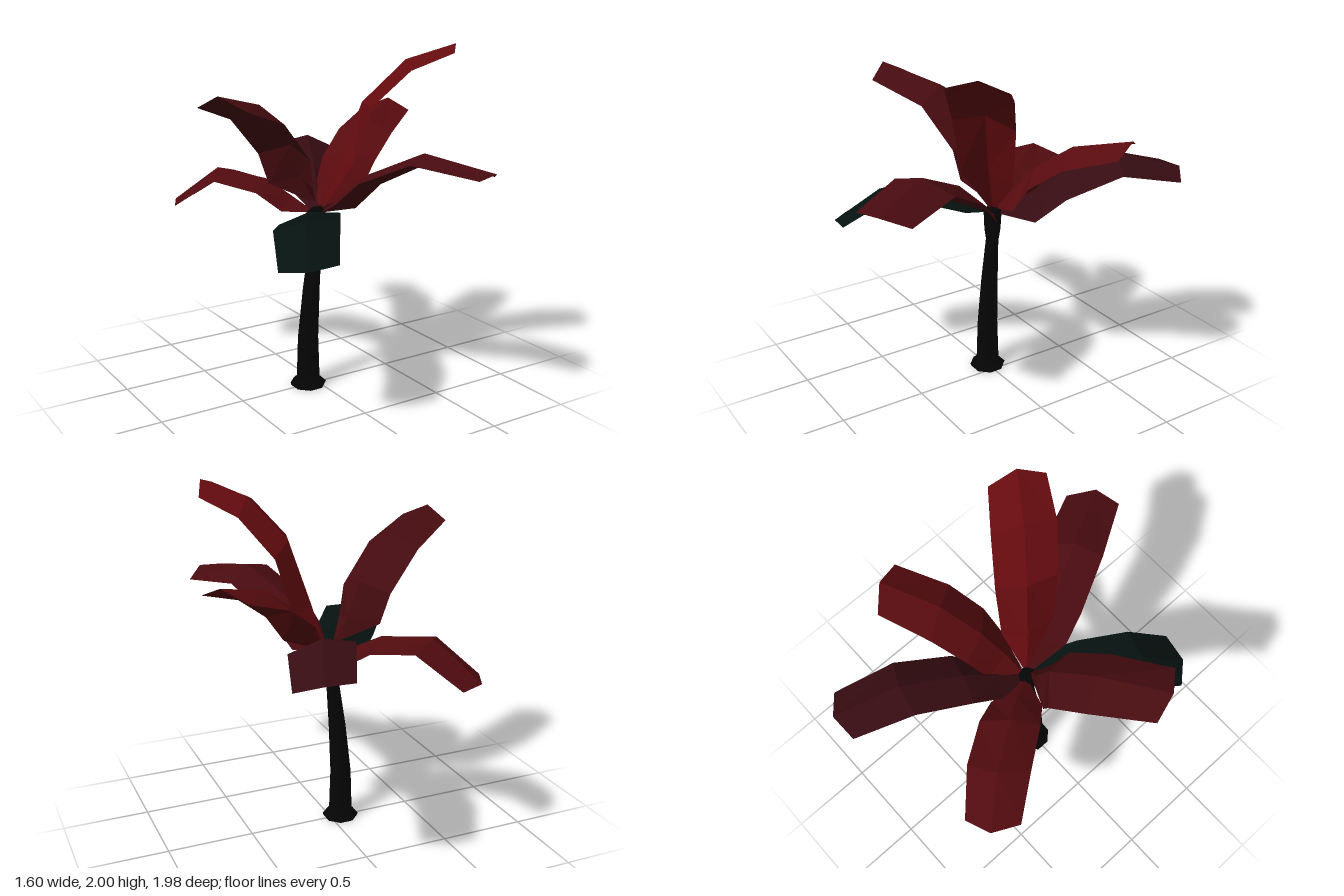
import * as THREE from 'three';

const material = (color, flatShading) => new THREE.MeshStandardMaterial({ color, flatShading, side: THREE.DoubleSide });
const bark = material(0x050506, false);

// Leaf sections, stem to tip: half width, edge drop, edge set-back, share of roll, share of sway
const SECTIONS = [
  [0.02, 0.01, 0, 0, 0], [0.142, 0.08, 0, 2, 0.8], [0.165, 0.065, 0.01, 1.5, 1], [0.17, 0.07, 0.025, 1, 1],
  [0.15, 0.05, 0.045, 0.8, 0],
];
const SKEW = 0.02;

// Leaves: tip (x, z), four spine points (radius, height), fold strength, roll, sideways sway
const LEAVES = [
  { name: 'backLeaf', color: 0x360c11, tip: [0.46, -0.98], spine: [[0.02, 1.04], [0.35, 1.25], [0.7, 1.365], [1.08, 1.26]], fold: 0.8, roll: -0.025, sway: 0.025 },
  { name: 'backLeftLeaf', color: 0x580b0f, tip: [0.75, -0.36], spine: [[0.03, 1.08], [0.27, 1.36], [0.5, 1.52], [0.83, 1.6]], fold: 1.1, roll: 0, sway: 0.02 },
  { name: 'frontLeaf', color: 0x480b10, tip: [0.47, 0.96], spine: [[0.03, 1.05], [0.33, 1.3], [0.67, 1.455], [1.07, 1.385]], fold: 0.8, roll: 0.022, sway: 0.015 },
  { name: 'backRightLeaf', color: 0x500b0f, tip: [-0.54, -0.75], spine: [[0.03, 1.05], [0.33, 1.21], [0.64, 1.25], [0.92, 1.04]], fold: 0.8, roll: 0, sway: 0.02 },
  { name: 'rightLeaf', color: 0x460c10, tip: [-0.75, 0.28], spine: [[0.03, 1.12], [0.165, 1.45], [0.42, 1.7], [0.8, 1.79]], fold: 1.25, roll: 0, sway: 0.06 },
  { name: 'darkLeaf', color: 0x061210, tip: [-0.52, 0.75], spine: [[0.03, 1.05], [0.33, 1.13], [0.65, 1.16], [0.91, 0.975]], fold: 0.6, roll: -0.02, sway: 0.025 },
  { name: 'tallLeaf', color: 0x640b0f, tip: [0.59, 0.47], spine: [[0.03, 1.08], [0.25, 1.68], [0.485, 1.915], [0.75, 2.0]], fold: 0.9, roll: 0.022, sway: 0.02 },
];

// Joins equal-length rows of points into a sheet
function sheet(rows, closed) {
  const n = rows[0].length;
  const index = [];
  for (let i = 0; i < rows.length - 1; i++) {
    for (let j = 0; j < (closed ? n : n - 1); j++) {
      const a = i * n + j, b = i * n + (j + 1) % n;
      index.push(a, a + n, b, b, a + n, b + n);
    }
  }
  const geometry = new THREE.BufferGeometry();
  geometry.setAttribute('position', new THREE.Float32BufferAttribute(rows.flat(2), 3));
  geometry.setIndex(index);
  geometry.computeVertexNormals();
  return geometry;
}

// A bent leaf with a raised midrib and a pointed-off tip
function makeLeaf({ name, color, tip, spine, fold, roll, sway }) {
  const length = Math.hypot(...tip);
  const dx = tip[0] / length, dz = tip[1] / length;
  const [a, b, c, d] = spine;
  const near = [0, 1].map((k) => a[k] + (b[k] - a[k]) * 0.42);
  const points = [a, near, b, c, d];
  const rows = points.map(([r, y], i) => {
    const [half, drop, back, rollShare, swayShare] = SECTIONS[i];
    // Slope of the spine here, so the edges fold down square to it
    const p = points[Math.max(i - 1, 0)], q = points[Math.min(i + 1, 4)];
    const pitch = Math.atan2(q[1] - p[1], q[0] - p[0]);
    const sin = Math.sin(pitch), cos = Math.cos(pitch);
    return [-1, 0, 1].map((side) => {
      const edge = Math.abs(side);
      const fall = edge * drop * fold;
      const along = r + fall * sin - edge * back * cos + (i ? side * SKEW : 0);
      const across = side * half + sway * swayShare;
      const height = y - fall * cos - edge * back * sin + side * roll * rollShare;
      return [dx * along - dz * across, height, dz * along + dx * across];
    });
  });
  const mesh = new THREE.Mesh(sheet(rows, false), material(color, true));
  mesh.name = name;
  return mesh;
}

// A closed eight-sided stem from rings of [height, radius, centre x]
function makeStem(name, rings) {
  const rows = rings.map(([y, r, x]) => Array.from({ length: 8 }, (_, j) => {
    const t = ((j + 0.5) / 8) * Math.PI * 2;
    return [x + Math.cos(t) * r, y, Math.sin(t) * r];
  }));
  const mesh = new THREE.Mesh(sheet(rows, true), bark);
  mesh.name = name;
  return mesh;
}

export function createModel() {
  const group = new THREE.Group();
  group.name = 'palmTree';

  // Leaning trunk with a flared foot
  group.add(makeStem('trunk', [
    [0, 0, -0.063], [0, 0.1, -0.063], [0.015, 0.106, -0.063], [0.05, 0.068, -0.063], [0.3, 0.06, -0.063],
    [0.6, 0.049, -0.04], [0.88, 0.036, -0.01],
  ]));

  // Crown where the leaves meet
  group.add(makeStem('crown', [
    [0.87, 0, -0.008], [0.87, 0.038, -0.008], [0.93, 0.047, -0.008], [1.05, 0.053, -0.006], [1.07, 0.03, 0], [1.07, 0, 0],
  ]));

  const leaves = new THREE.Group();
  leaves.name = 'leaves';
  LEAVES.forEach((leaf) => leaves.add(makeLeaf(leaf)));
  group.add(leaves);
  return group;
}
